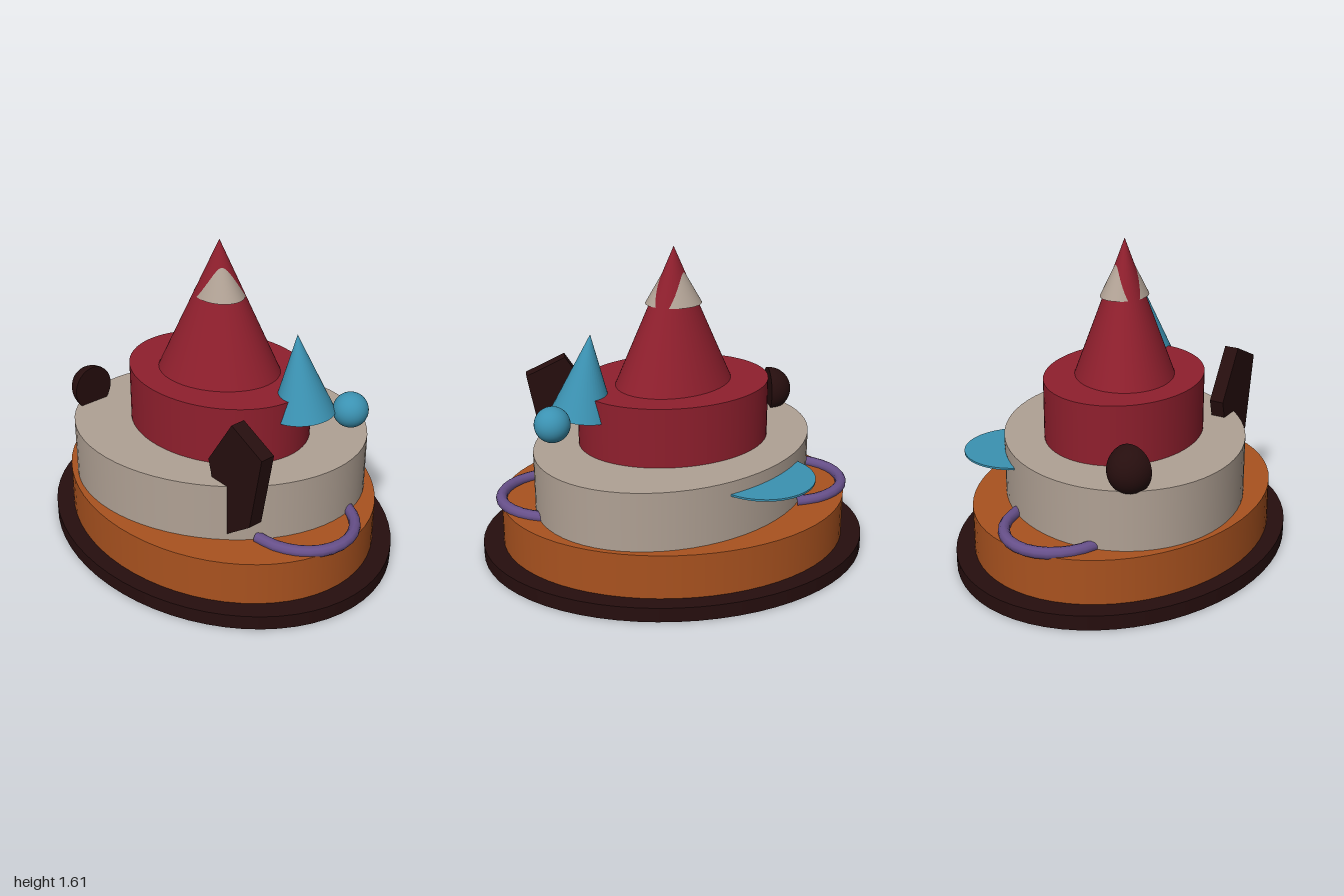
import * as THREE from 'three';

const mat = (name, color) => {
  const m = new THREE.MeshStandardMaterial({ color });
  m.name = name;
  return m;
};

export function createModel() {
  const group = new THREE.Group();
  const dark = mat('dark brown', 0x260e0e);
  const orange = mat('orange', 0xa9521f);
  const beige = mat('beige', 0xb0a194);
  const red = mat('red', 0x8f1f2d);
  const blue = mat('blue', 0x3b92b2);
  const purple = mat('purple', 0x67508a);

  const add = (name, geometry, material, x = 0, y = 0, z = 0) => {
    const mesh = new THREE.Mesh(geometry, material);
    mesh.name = name;
    mesh.position.set(x, y, z);
    group.add(mesh);
    return mesh;
  };

  // Elliptical tier or cone, from y0 to y1, turned about the vertical axis
  const tier = (name, material, rx, rz, y0, y1, turn = 0, top = 1) => {
    const h = y1 - y0;
    const geometry = top ? new THREE.CylinderGeometry(1, 1, h, 64) : new THREE.ConeGeometry(1, h, 64);
    const mesh = add(name, geometry, material, 0, y0 + h / 2, 0);
    mesh.scale.set(rx, 1, rz);
    mesh.rotation.y = turn;
  };

  // Stacked tiers and the peak
  tier('base', dark, 1, 0.805, 0, 0.075);
  tier('lowerTier', orange, 0.895, 0.72, 0.075, 0.305);
  tier('middleTier', beige, 0.766, 0.617, 0.305, 0.61, 0.576);
  tier('upperTier', red, 0.494, 0.397, 0.61, 0.915, 0.21);
  tier('peak', red, 0.314, 0.253, 0.915, 1.605, 0.524, 0);
  tier('peakCap', beige, 0.141, 0.115, 1.32, 1.568, 0, 0);

  // Curved handles on both ends of the lower tier
  for (const side of [1, -1]) {
    const path = new THREE.CurvePath();
    const points = [];
    for (let i = 0; i <= 8; i++) {
      const a = -Math.PI / 2 + (i / 8) * Math.PI;
      points.push(new THREE.Vector3(side * (0.59 + 0.305 * Math.cos(a)), 0.315, 0.265 * Math.sin(a)));
    }
    for (let i = 0; i < 8; i++) path.add(new THREE.LineCurve3(points[i], points[i + 1]));
    add(side > 0 ? 'leftHandle' : 'rightHandle',
      new THREE.TubeGeometry(new THREE.CatmullRomCurve3(points), 16, 0.029, 10), purple);
  }

  // Leaning cone and ball
  const apex = new THREE.Vector3(0.425, 1.215, -0.125);
  const foot = new THREE.Vector3(0.475, 0.81, -0.132);
  const axis = apex.clone().sub(foot);
  const mid = apex.clone().add(foot).multiplyScalar(0.5);
  const cone = add('leaningCone', new THREE.ConeGeometry(0.16, axis.length(), 40), blue, mid.x, mid.y, mid.z);
  cone.quaternion.setFromUnitVectors(new THREE.Vector3(0, 1, 0), axis.normalize());
  add('ball', new THREE.SphereGeometry(0.088, 32, 20), blue, 0.63, 0.83, -0.302);

  // Thin disc set into the back of the middle tier
  add('backDisc', new THREE.CylinderGeometry(0.26, 0.26, 0.01, 48), blue, -0.375, 0.54, -0.42);

  // Angular slab at the front
  const outline = [[0.53, 0.955], [0.365, 0.7], [0.47, 0.315], [0.66, 0.46], [0.735, 0.86]];
  const shape = new THREE.Shape(outline.map(([x, y]) => new THREE.Vector2(x, y)));
  add('slab', new THREE.ExtrudeGeometry(shape, { depth: 0.075, bevelEnabled: false }), dark, 0, 0, 0.305);

  // Half dome with its flat face turned inward
  const dome = new THREE.Group();
  dome.name = 'halfDome';
  const shell = new THREE.Mesh(
    new THREE.SphereGeometry(1, 32, 12, 0, Math.PI * 2, 0, Math.PI / 2).rotateZ(Math.PI / 2), dark);
  shell.name = 'domeShell';
  const face = new THREE.Mesh(new THREE.CircleGeometry(1, 32).rotateY(Math.PI / 2), dark);
  face.name = 'domeFace';
  dome.add(shell, face);
  dome.scale.set(0.125, 0.12, 0.11);
  dome.position.set(-0.58, 0.692, 0.38);
  group.add(dome);

  return group;
}
